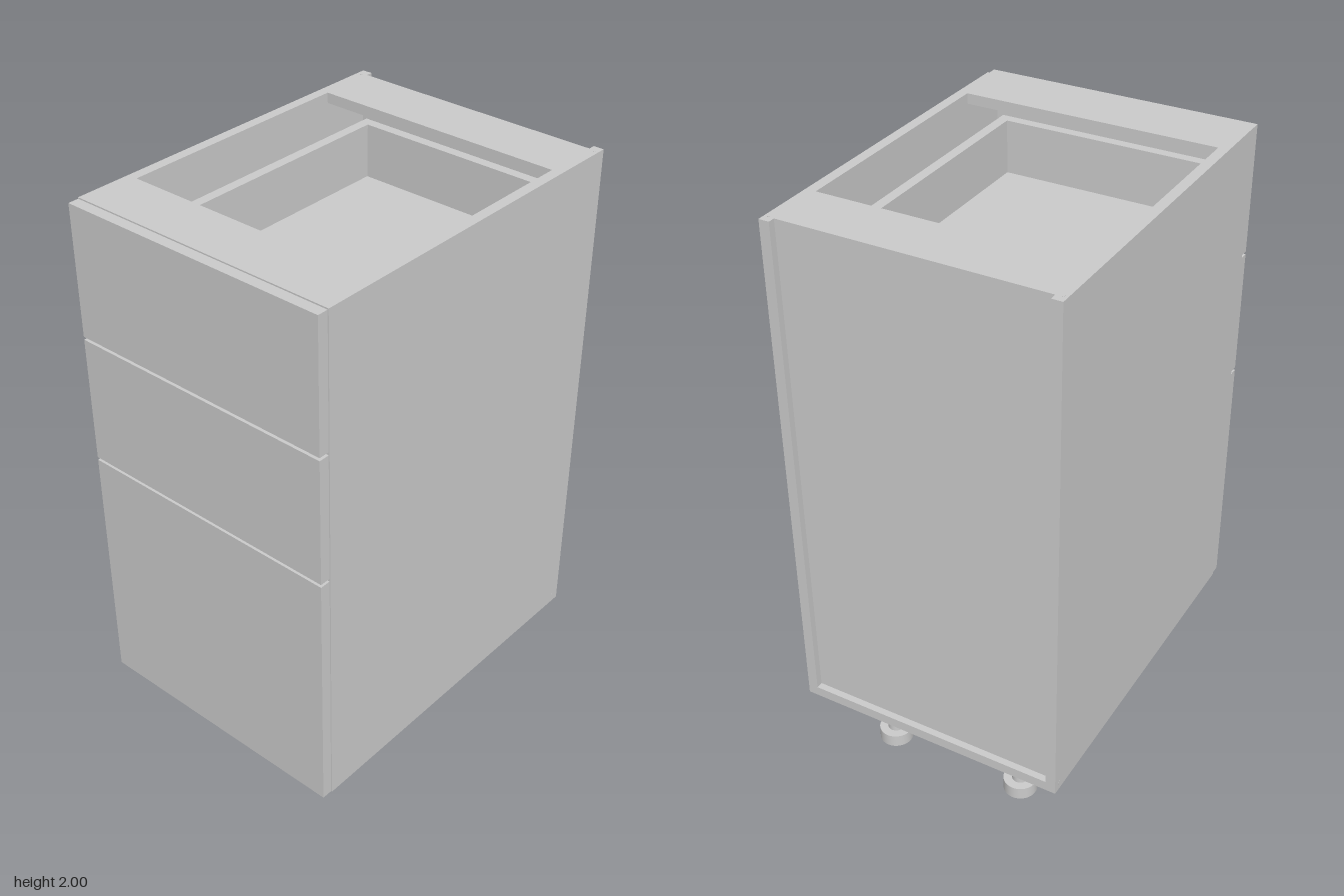
import * as THREE from 'three';

const material = new THREE.MeshStandardMaterial({ color: 0xcccccc });

// Box given by its min/max limits on each axis
function box(name, [x0, x1], [y0, y1], [z0, z1]) {
  const mesh = new THREE.Mesh(new THREE.BoxGeometry(x1 - x0, y1 - y0, z1 - z0), material);
  mesh.position.set((x0 + x1) / 2, (y0 + y1) / 2, (z0 + z1) / 2);
  mesh.name = name;
  return mesh;
}

// Adjustable foot: base, stem and mounting cap
function makeLeg(name, x, z) {
  const leg = new THREE.Group();
  leg.name = name;
  const parts = [['legBase', 0.057, 0, 0.045], ['legStem', 0.028, 0.045, 0.195], ['legCap', 0.057, 0.195, 0.24]];
  for (const [part, r, y0, y1] of parts) {
    const mesh = new THREE.Mesh(new THREE.CylinderGeometry(r, r, y1 - y0, 32), material);
    mesh.position.y = (y0 + y1) / 2;
    mesh.name = part;
    leg.add(mesh);
  }
  leg.position.set(x, 0, z);
  return leg;
}

// Drawer: overlay front plus an open-topped box
function makeDrawer(name, frontY, boxY) {
  const drawer = new THREE.Group();
  drawer.name = name;
  const w = 0.41, t = 0.035, zBack = -0.585, zFront = 0.595;
  drawer.add(box('drawerFront', [-0.468, 0.468], frontY, [0.602, 0.638]));
  drawer.add(box('drawerSideRight', [-w, -w + t], boxY, [zBack, zFront]));
  drawer.add(box('drawerSideLeft', [w - t, w], boxY, [zBack, zFront]));
  drawer.add(box('drawerBoxFront', [-w + t, w - t], boxY, [zFront - t, zFront]));
  drawer.add(box('drawerBoxBack', [-w + t, w - t], boxY, [zBack, zBack + t]));
  drawer.add(box('drawerBottom', [-w + t, w - t], [boxY[0], boxY[0] + 0.03], [zBack + t, zFront - t]));
  return drawer;
}

export function createModel() {
  const cabinet = new THREE.Group();
  cabinet.name = 'drawerCabinet';

  // Carcass
  const inner = 0.435, outer = 0.47, back = -0.638, front = 0.6;
  const carcass = new THREE.Group();
  carcass.name = 'carcass';
  carcass.add(
    box('sidePanelRight', [-outer, -inner], [0.24, 2], [back, front]),
    box('sidePanelLeft', [inner, outer], [0.24, 2], [back, front]),
    box('bottomPanel', [-inner, inner], [0.24, 0.275], [back, front]),
    box('backPanel', [-inner, inner], [0.275, 1.965], [-0.615, -0.597]),
    box('topRailBack', [-inner, inner], [1.965, 2], [-0.615, -0.42]),
    box('topRailFront', [-inner, inner], [1.965, 2], [0.41, front])
  );
  cabinet.add(carcass);

  // Three drawers, tallest at the bottom
  cabinet.add(
    makeDrawer('topDrawer', [1.56, 1.997], [1.65, 1.865]),
    makeDrawer('middleDrawer', [1.12, 1.55], [1.21, 1.425]),
    makeDrawer('bottomDrawer', [0.243, 1.11], [0.34, 0.77])
  );

  // Small oval plugs near the back edge of each side panel
  const plug = new THREE.CylinderGeometry(0.005, 0.005, 0.002, 12);
  for (const s of [-1, 1]) {
    const topPlug = new THREE.Mesh(plug, material);
    topPlug.name = 'topPlug';
    topPlug.position.set(s * 0.455, 2, -0.61);
    const sidePlug = new THREE.Mesh(plug, material);
    sidePlug.name = 'sidePlug';
    sidePlug.rotation.z = Math.PI / 2;
    sidePlug.scale.x = 2;
    sidePlug.position.set(s * outer, 0.266, -0.61);
    cabinet.add(topPlug, sidePlug);
  }

  // Four feet
  for (const [side, x] of [['Right', -0.25], ['Left', 0.243]]) {
    cabinet.add(makeLeg('frontLeg' + side, x, 0.38), makeLeg('backLeg' + side, x, -0.468));
  }
  return cabinet;
}
